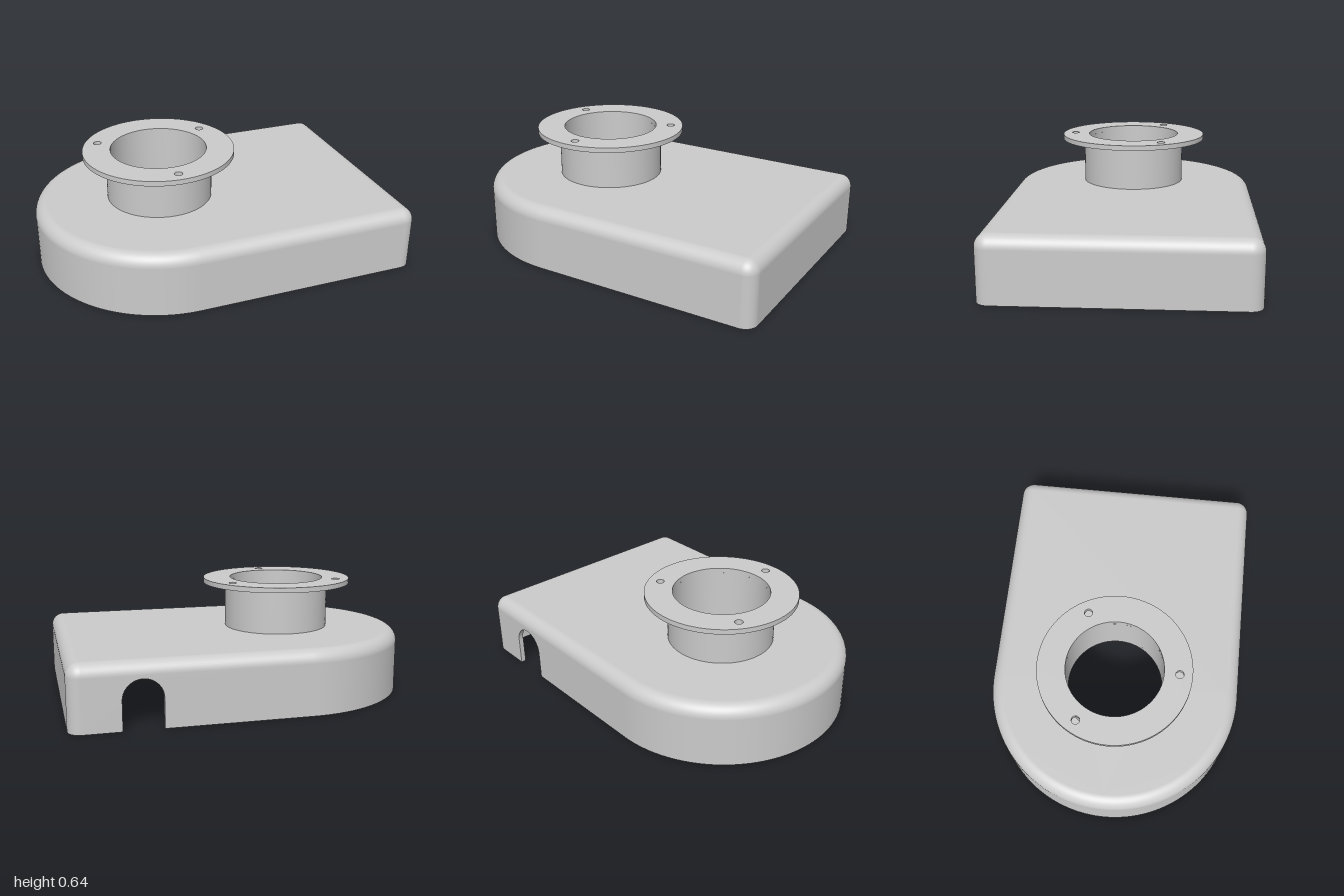
import * as THREE from 'three';
import { toCreasedNormals } from 'three/addons/utils/BufferGeometryUtils.js';

// Modelled in units of 1/14, scaled at the end
const SCALE = 1 / 14;
const WALL = 0.4, WALL_TOP = 4, FILLET = 1;
const ARC_X = -4, ARC_R = 10, END_X = 13, SIDE_Z = 9;
const BORE = 3.8, NECK = 4.2, FLANGE = 6, FLANGE_Y = 9;
const SLOT_X = 8.7, SLOT_R = 1.5, SLOT_Y = 2.25;

const material = new THREE.MeshStandardMaterial({ color: 0xcccccc, side: THREE.DoubleSide });

function add(parent, name, geometry) {
  const mesh = new THREE.Mesh(geometry, material);
  mesh.name = name;
  parent.add(mesh);
  return mesh;
}

// Outline stations: base point of the fillet centre line and outward direction
function outline() {
  const stations = [];
  const arc = (cx, cz, r, from, to, n) => {
    for (let i = 0; i <= n; i++) {
      const a = from + (to - from) * i / n, c = Math.cos(a), s = Math.sin(a);
      stations.push({ x: cx + r * c, z: cz + r * s, c, s });
    }
  };
  const q = Math.PI / 2;
  arc(END_X, -SIDE_Z, 0, -q, 0, 12);
  arc(END_X, SIDE_Z, 0, 0, q, 12);
  arc(ARC_X, 0, ARC_R - FILLET, q, 3 * q, 64);
  return stations;
}

// Sweep a profile of [offset, y, normalOut, normalUp] along the stations
function sweep(profile, stations) {
  const pos = [], nor = [], idx = [], m = profile.length;
  for (const { x, z, c, s } of stations) {
    for (const [o, y, no, ny] of profile) {
      pos.push(x + o * c, y, z + o * s);
      nor.push(no * c, ny, no * s);
    }
  }
  for (let i = 0; i < stations.length - 1; i++) {
    for (let j = 0; j < m - 1; j++) {
      const a = i * m + j, b = a + m;
      idx.push(a, a + 1, b, b, a + 1, b + 1);
    }
  }
  const g = new THREE.BufferGeometry();
  g.setAttribute('position', new THREE.Float32BufferAttribute(pos, 3));
  g.setAttribute('normal', new THREE.Float32BufferAttribute(nor, 3));
  g.setIndex(idx);
  return g;
}

// Quarter-round profile; sign -1 makes the inward-facing version
function quarterRound(r, sign) {
  const p = [];
  for (let i = 0; i <= 12; i++) {
    const a = (i / 12) * Math.PI / 2, c = Math.cos(a), s = Math.sin(a);
    p.push([r * c, WALL_TOP + r * s, sign * c, sign * s]);
  }
  return sign > 0 ? p : p.reverse();
}

function circleHole(x, y, r) {
  return new THREE.Path().absarc(x, y, r, 0, Math.PI * 2, true);
}

function createHousing() {
  const housing = new THREE.Group();
  housing.name = 'housing';
  const open = outline(), closed = [...open, open[0]];
  const inner = FILLET - WALL;

  // Side walls all round except the slotted back wall
  add(housing, 'innerWall', sweep([[inner, WALL_TOP, -1, 0], [inner, 0, -1, 0]], open));
  add(housing, 'bottomRim', sweep([[inner, 0, 0, -1], [FILLET, 0, 0, -1]], open));
  add(housing, 'outerWall', sweep([[FILLET, 0, 1, 0], [FILLET, WALL_TOP, 1, 0]], open));

  // Rounded top edge, outside and inside
  add(housing, 'outerTopFillet', sweep(quarterRound(FILLET, 1), closed));
  add(housing, 'innerTopFillet', sweep(quarterRound(inner, -1), closed));

  // Straight back wall with an arched slot open at the bottom
  const back = new THREE.Shape();
  back.moveTo(ARC_X, 0);
  back.lineTo(SLOT_X - SLOT_R, 0);
  back.lineTo(SLOT_X - SLOT_R, SLOT_Y);
  back.absarc(SLOT_X, SLOT_Y, SLOT_R, Math.PI, 0, true);
  back.lineTo(SLOT_X + SLOT_R, 0);
  back.lineTo(END_X, 0);
  back.lineTo(END_X, WALL_TOP);
  back.lineTo(ARC_X, WALL_TOP);
  const backGeo = new THREE.ExtrudeGeometry(back, { depth: WALL, bevelEnabled: false, curveSegments: 32 });
  backGeo.translate(0, 0, -ARC_R);
  add(housing, 'slottedBackWall', toCreasedNormals(backGeo, 0.5));

  // Flat top plate, both faces, with the bore
  const plate = new THREE.Shape();
  plate.moveTo(ARC_X, -SIDE_Z);
  plate.lineTo(END_X, -SIDE_Z);
  plate.lineTo(END_X, SIDE_Z);
  plate.lineTo(ARC_X, SIDE_Z);
  plate.absarc(ARC_X, 0, SIDE_Z, Math.PI / 2, Math.PI * 1.5, false);
  plate.holes.push(circleHole(ARC_X, 0, BORE));
  const top = new THREE.ShapeGeometry(plate, 64).rotateX(-Math.PI / 2);
  add(housing, 'topPlate', top.translate(0, WALL_TOP + FILLET, 0));
  const under = new THREE.ShapeGeometry(plate, 64).rotateX(Math.PI / 2);
  add(housing, 'topPlateUnderside', under.translate(0, WALL_TOP + inner, 0));
  return housing;
}

function createInlet() {
  const inlet = new THREE.Group();
  inlet.name = 'inlet';
  inlet.position.x = ARC_X;

  // Neck tube: outer skin and bore running through the top plate
  const tube = (r, y0, y1) => new THREE.CylinderGeometry(r, r, y1 - y0, 96, 1, true).translate(0, (y0 + y1) / 2, 0);
  add(inlet, 'neck', tube(NECK, WALL_TOP + FILLET, FLANGE_Y - WALL));
  const bore = tube(BORE, WALL_TOP + FILLET - WALL, FLANGE_Y - WALL);
  bore.scale(-1, 1, 1); // mirrored so that it faces inwards
  const n = bore.attributes.normal;
  for (let i = 0; i < n.count; i++) n.setXYZ(i, n.getX(i), 0, -n.getZ(i));
  const p = bore.attributes.position;
  for (let i = 0; i < n.count; i++) n.setXYZ(i, -p.getX(i) / BORE, 0, -p.getZ(i) / BORE);
  add(inlet, 'bore', bore);

  // Flange ring with three bolt holes
  const ring = new THREE.Shape().absarc(0, 0, FLANGE, 0, Math.PI * 2, false);
  ring.holes.push(circleHole(0, 0, BORE));
  for (let i = 0; i < 3; i++) {
    const a = Math.PI / 2 + i * Math.PI * 2 / 3;
    ring.holes.push(circleHole(5 * Math.cos(a), 5 * Math.sin(a), 0.32));
  }
  const flange = new THREE.ExtrudeGeometry(ring, { depth: WALL, bevelEnabled: false, curveSegments: 96 });
  flange.rotateX(Math.PI / 2).translate(0, FLANGE_Y, 0);
  add(inlet, 'flange', toCreasedNormals(flange, 0.5));
  return inlet;
}

export function createModel() {
  const model = new THREE.Group();
  model.name = 'flangedCover';
  model.add(createHousing(), createInlet());
  model.scale.setScalar(SCALE);
  return model;
}
